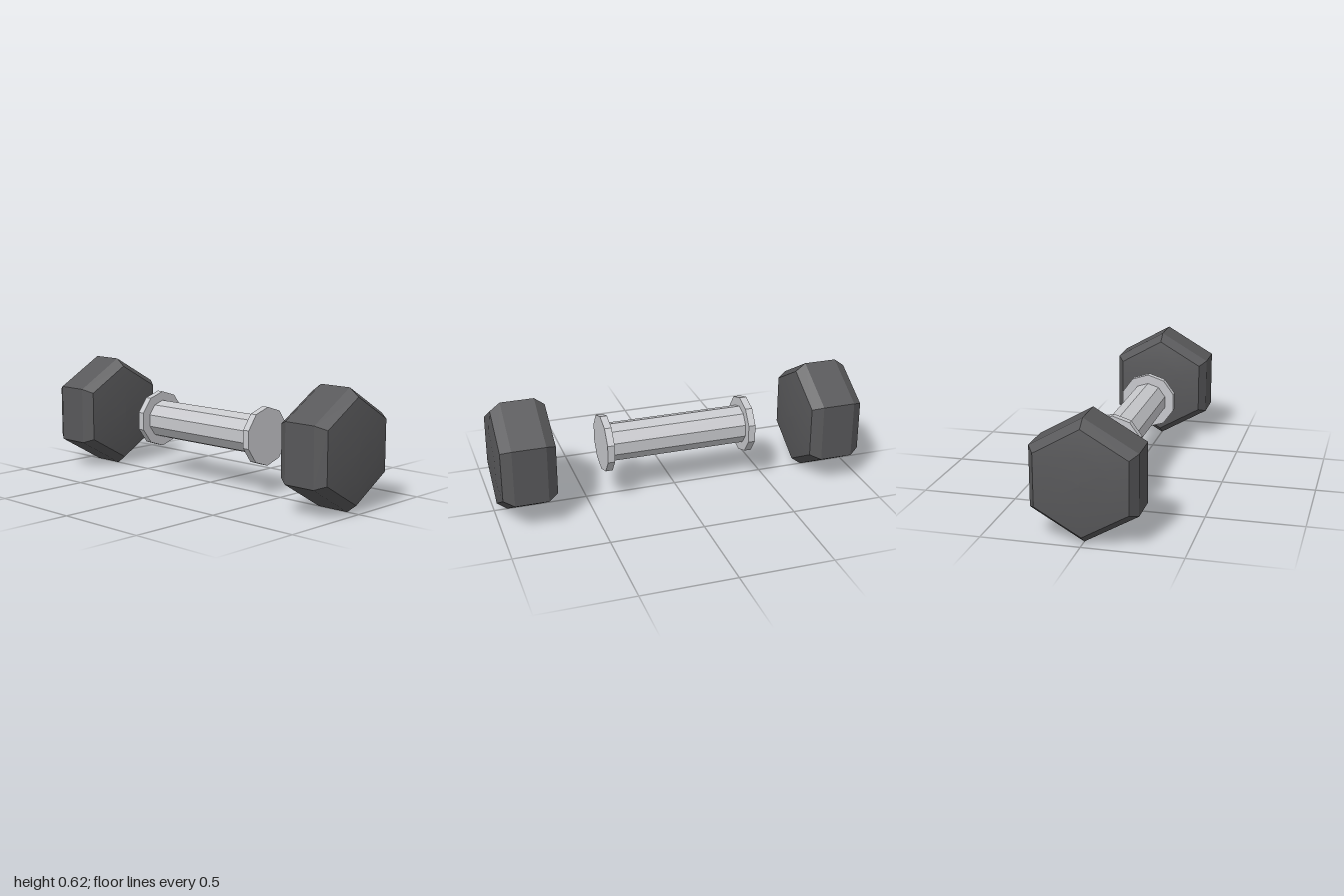
import * as THREE from 'three';

const AXIS_Y = 0.308;

// Turn a profile of [radius, offset] points around the x axis, one corner pointing up
function turned(name, profile, sides, material, x) {
  const points = profile.map(([r, o]) => new THREE.Vector2(r, o));
  const geometry = new THREE.LatheGeometry(points, sides, Math.PI / 2);
  geometry.rotateZ(-Math.PI / 2);
  const mesh = new THREE.Mesh(geometry, material);
  mesh.name = name;
  mesh.position.set(x, AXIS_Y, 0);
  return mesh;
}

// Turned solid with flat facets
function faceted(...args) {
  const mesh = turned(...args);
  mesh.geometry = mesh.geometry.toNonIndexed();
  mesh.geometry.computeVertexNormals();
  return mesh;
}

export function createModel() {
  const rubber = new THREE.MeshStandardMaterial({ color: 0x58585a });
  rubber.name = 'dark rubber';
  const steel = new THREE.MeshStandardMaterial({ color: 0xc8c9cd });
  steel.name = 'light steel';

  const model = new THREE.Group();
  model.name = 'dumbbell';

  // Ten-sided grip
  const grip = [[0, -0.375], [0.104, -0.375], [0.104, 0.375], [0, 0.375]];
  model.add(faceted('grip', grip, 10, steel, 0));

  // Bevelled hexagonal head with shallow domed faces, and grip collar, on each side
  const body = [[0.267, -0.142], [0.308, -0.088], [0.308, 0.088], [0.267, 0.142]];
  const outerDome = [[0.267, 0.142], [0.15, 0.156], [0, 0.158]];
  const innerDome = outerDome.map(([r, o]) => [r, -o]).reverse();
  const collar = [[0, -0.019], [0.154, -0.019], [0.154, 0.019], [0, 0.019]];

  for (const [side, s] of [['left', 1], ['right', -1]]) {
    const head = new THREE.Group();
    head.name = side + 'Head';
    const x = s * 0.842;
    head.add(
      faceted(side + 'HeadBody', body, 6, rubber, x),
      turned(side + 'HeadFaceA', outerDome, 6, rubber, x),
      turned(side + 'HeadFaceB', innerDome, 6, rubber, x)
    );
    model.add(head, faceted(side + 'Collar', collar, 10, steel, s * 0.392));
  }
  return model;
}
